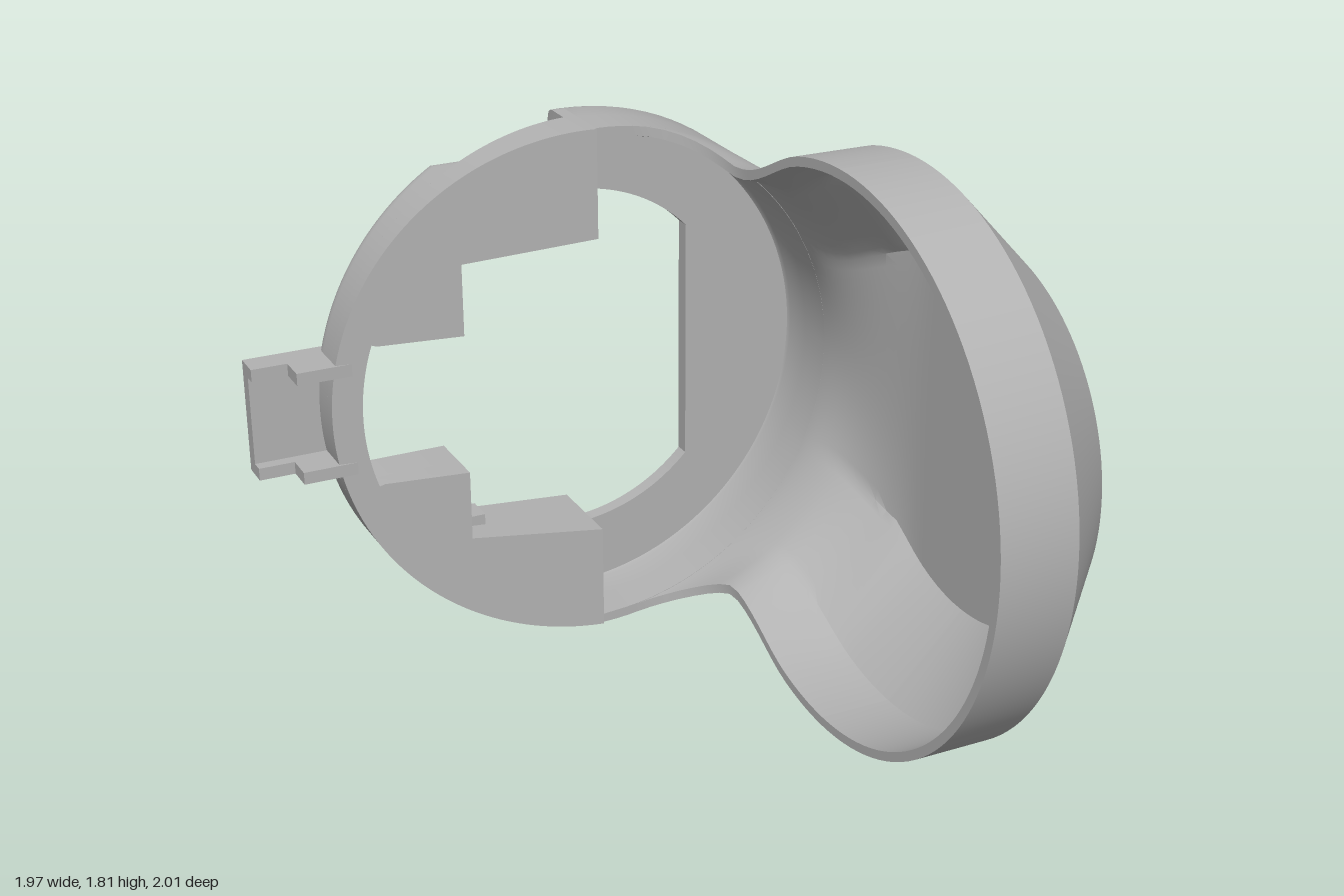
import * as THREE from 'three';
import { toCreasedNormals } from 'three/addons/utils/BufferGeometryUtils.js';

const CX = 0.08, CY = 0.905, R = 0.85;          // ring centre and radius
const CUP_Z = 0.1, CUP_R = 0.905, FACE_R = 0.625; // cup axis and radii
const WALL = 0.03, ROUND = 0.045;

const grey = new THREE.MeshStandardMaterial({ color: 0xb2b2b2, side: THREE.DoubleSide });
grey.name = 'grey plastic';

// Inset of the rounded rear edge at depth z
function edgeInset(z) {
  const d = Math.max(0, ROUND - (z + 1));
  return ROUND - Math.sqrt(ROUND * ROUND - d * d);
}

function addMesh(group, name, geometry, crease = 0.55) {
  const mesh = new THREE.Mesh(toCreasedNormals(geometry, crease), grey);
  mesh.name = name;
  group.add(mesh);
  return mesh;
}

function addBox(group, name, x0, x1, y0, y1, z0, z1) {
  const g = new THREE.BoxGeometry(x1 - x0, y1 - y0, z1 - z0);
  g.translate((x0 + x1) / 2, (y0 + y1) / 2, (z0 + z1) / 2);
  return addMesh(group, name, g);
}

// Half ring on the -x side with a stepped opening; grooved adds the flat screw notches
function halfRingShape(grooved) {
  const s = new THREE.Shape();
  const arc = (a, b) => s.absarc(CX, CY, R, a, b, false);
  s.moveTo(CX, CY + R);
  if (grooved) {
    const wall = Math.acos(-0.04 / R), end = Math.PI - Math.asin(0.725 / R);
    arc(Math.PI / 2, wall);
    s.lineTo(0.04, CY + 0.725);
    arc(end, 2 * Math.PI - end);
    s.lineTo(0.04, CY - 0.725);
    arc(2 * Math.PI - wall, Math.PI * 1.5);
  } else arc(Math.PI / 2, Math.PI * 1.5);
  const steps = [[CX, 0.5], [-0.35, 0.465], [-0.35, 0.232], [-0.62, 0.232]];
  steps.forEach(([x, h]) => s.lineTo(x, CY - h));
  const a = Math.atan2(0.232, 0.7);
  s.absarc(CX, CY, 0.755, Math.PI + a, Math.PI - a, true);
  steps.reverse().forEach(([x, h]) => s.lineTo(x, CY + h));
  s.closePath();
  return s;
}

// Upper half of a hull section at depth z, from the free edge to the equator, as [x, height]
function hullProfile(z, edgeX, inset) {
  const dz = z - CUP_Z;
  const root = (r) => Math.sqrt(Math.max(0, r * r - dz * dz));
  const h = Math.max(root(CUP_R), 0.65) - inset;
  const hf = Math.max(root(FACE_R), 0.5) - inset * 0.4;
  const xs = 0.705 - inset * 0.4, xf = 0.98 - inset;
  const u = THREE.MathUtils.smoothstep(z, -0.72, -0.15);
  const r = R - inset - edgeInset(z);
  const a0 = Math.acos(Math.min(1, (edgeX - CX) / r));
  const pts = [];
  const N = 28;
  for (let i = 0; i <= N; i++) {
    let cx, cy;
    if (i <= 6) { cx = edgeX + (xs - edgeX) * i / 6; cy = h; }
    else if (i <= 18) { const t = (i - 6) / 12; cx = xs + (xf - xs) * t; cy = h + (hf - h) * t; }
    else { cx = xf; cy = hf * (N - i) / (N - 18); }
    const a = a0 * (1 - i / N);
    pts.push([
      THREE.MathUtils.lerp(CX + r * Math.cos(a), cx, u),
      THREE.MathUtils.lerp(r * Math.sin(a), cy, u),
    ]);
  }
  return pts;
}

// Hollow hull lofted from the half ring into the cup
function hullGeometry() {
  const sections = [-1, -0.99, -0.975, -0.955, -0.85, -0.72].map((z) => [z, CX]);
  for (let i = 0; i <= 8; i++) {                 // rounded corner of the free edge
    const a = (i / 8) * Math.PI / 2;
    sections.push([-0.47 - 0.25 * Math.cos(a), 0.205 + 0.25 * Math.sin(a)]);
  }
  for (let i = 1; i <= 12; i++) sections.push([-0.47 + 0.57 * i / 12, 0.455]);

  const pos = [], idx = [];
  let n = 0;
  sections.forEach(([z, edgeX]) => {
    const full = (inset) => {
      const p = hullProfile(z, edgeX, inset);
      return [...p, ...p.slice(0, -1).reverse().map(([x, y]) => [x, -y])];
    };
    const loop = [...full(0), ...full(WALL).reverse()];
    n = loop.length;
    loop.forEach(([x, y]) => pos.push(x, CY + y, z));
  });
  for (let i = 0; i < sections.length - 1; i++) {
    for (let j = 0; j < n; j++) {
      const k = (j + 1) % n, a = i * n + j, b = i * n + k;
      idx.push(a, a + n, b, b, a + n, b + n);
    }
  }
  const g = new THREE.BufferGeometry();
  g.setAttribute('position', new THREE.Float32BufferAttribute(pos, 3));
  g.setIndex(idx);
  return g;
}

export function createModel() {
  const model = new THREE.Group();
  model.name = 'hoodedRing';

  // Rear layer of the half ring, with rounded rear edge and screw notches
  const rear = new THREE.ExtrudeGeometry(halfRingShape(true),
    { depth: 0.13, steps: 9, bevelEnabled: false, curveSegments: 40 });
  rear.translate(0, 0, -1);
  const rp = rear.attributes.position;
  for (let i = 0; i < rp.count; i++) {
    const dx = rp.getX(i) - CX, dy = rp.getY(i) - CY, r = Math.hypot(dx, dy);
    if (r < 0.82) continue;
    const k = 1 - edgeInset(rp.getZ(i)) / r;
    rp.setXY(i, CX + dx * k, CY + dy * k);
  }
  addMesh(model, 'ringRear', rear);

  // Front layer, its face sloping towards the tab
  const front = new THREE.ExtrudeGeometry(halfRingShape(false),
    { depth: 1, bevelEnabled: false, curveSegments: 64 });
  const fp = front.attributes.position;
  for (let i = 0; i < fp.count; i++) {
    fp.setZ(i, fp.getZ(i) < 0.5 ? -0.87 : -0.82 + (fp.getX(i) + 0.7) * 0.141);
  }
  addMesh(model, 'ringFront', front);

  // Back plate of the hull, with a round opening cut off straight on one side
  const plate = new THREE.Shape();
  const a = Math.acos(0.42 / 0.585);
  plate.moveTo(CX, CY - R + ROUND);
  plate.absarc(CX, CY, R - ROUND, -Math.PI / 2, Math.PI / 2, false);
  plate.absarc(CX, CY, 0.585, Math.PI / 2, a, true);
  plate.absarc(CX, CY, 0.585, -a, -Math.PI / 2, true);
  plate.closePath();
  const plateGeo = new THREE.ExtrudeGeometry(plate,
    { depth: 0.05, bevelEnabled: false, curveSegments: 40 });
  plateGeo.translate(0, 0, -1);
  addMesh(model, 'backPlate', plateGeo);

  // Neck and rear half of the cup
  addMesh(model, 'neckShell', hullGeometry());

  // Front half of the cup
  const w = WALL;
  const profile = [
    [CUP_R, 0.455], [CUP_R, 0.705], [FACE_R, 0.98], [0, 0.98],
    [0, 0.98 - w], [FACE_R - w * 0.4, 0.98 - w], [CUP_R - w, 0.705 - w * 0.4],
    [CUP_R - w, 0.455], [CUP_R, 0.455],
  ].map(([r, x]) => new THREE.Vector2(r, x));
  const cup = new THREE.LatheGeometry(profile, 64, -Math.PI / 2, Math.PI);
  cup.rotateZ(-Math.PI / 2);
  cup.translate(0, CY, CUP_Z);
  addMesh(model, 'cupFront', cup);

  // Tab with stepped rails
  addBox(model, 'tabPlate', -0.99, -0.67, 0.72, 1.09, -1, -0.95);
  for (const s of [-1, 1]) {
    const y = CY + s * 0.165;
    addBox(model, 'tabRailOuter', -0.99, -0.87, y - 0.02, y + 0.02, -1, -0.91);
    addBox(model, 'tabRailInner', -0.875, -0.7, y - 0.02, y + 0.02, -1, -0.82);
    // Small catch in the corner of the stepped opening
    const c = CY + s * 0.455;
    addBox(model, 'catch', -0.35, -0.27, c - 0.02, c + 0.02, -0.95, -0.86);
  }
  return model;
}
